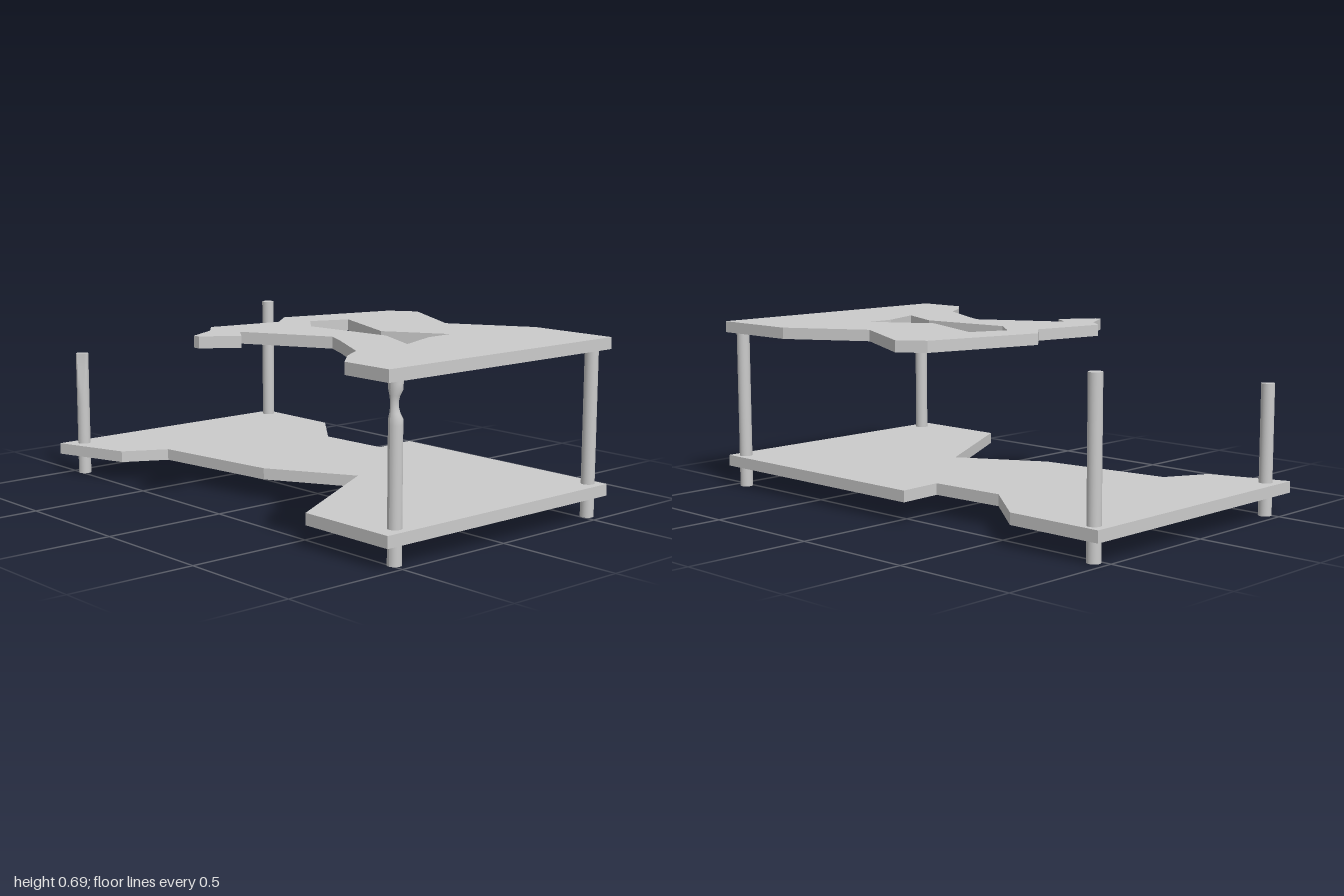
import * as THREE from 'three';

const material = new THREE.MeshStandardMaterial({ color: 0xcccccc });

// Flat board cut from an outline of [x, z] points
function board(name, y, thickness, outline, hole) {
  const points = (list) => list.map(([x, z]) => new THREE.Vector2(x, -z));
  const shape = new THREE.Shape(points(outline));
  if (hole) shape.holes.push(new THREE.Path(points(hole)));
  const geometry = new THREE.ExtrudeGeometry(shape, { depth: thickness, bevelEnabled: false });
  geometry.rotateX(-Math.PI / 2);
  const mesh = new THREE.Mesh(geometry, material);
  mesh.name = name;
  mesh.position.y = y;
  return mesh;
}

// Round post standing on the floor; an optional rule moves its vertices
function post(name, x, z, height, deform) {
  const geometry = new THREE.CylinderGeometry(0.026, 0.026, height, 20, deform ? 32 : 1);
  geometry.translate(0, height / 2, 0);
  if (deform) {
    const position = geometry.attributes.position;
    const v = new THREE.Vector3();
    for (let i = 0; i < position.count; i++) {
      deform(v.fromBufferAttribute(position, i));
      position.setXYZ(i, v.x, v.y, v.z);
    }
    geometry.computeVertexNormals();
  }
  const mesh = new THREE.Mesh(geometry, material);
  mesh.name = name;
  mesh.position.set(x, 0, z);
  return mesh;
}

// Splintered waist just below the upper shelf
function splinter(v) {
  const t = THREE.MathUtils.smoothstep(v.y, 0.5, 0.54) * (1 - THREE.MathUtils.smoothstep(v.y, 0.575, 0.6));
  v.x *= 1 - 0.45 * t;
  v.z = v.z * (1 - 0.4 * t) + 0.006 * t;
}

// Chip split off the front inner side of the broken post
function chip(v) {
  const depth = 0.012 * THREE.MathUtils.smoothstep(v.y, 0.3, 0.5);
  const over = Math.max(0, (v.x + v.z) / Math.SQRT2 - (0.026 - depth));
  v.x -= over / Math.SQRT2;
  v.z -= over / Math.SQRT2;
}

export function createModel() {
  const model = new THREE.Group();
  model.name = 'brokenShelf';

  // Lower shelf with jagged bites front and back
  model.add(board('lowerShelf', 0.083, 0.045, [
    [-1, 0.57], [-0.69, 0.47], [-0.6, 0.3], [-0.06, 0.23], [0.28, 0.04], [0.585, 0.57],
    [1, 0.57], [1, -0.57], [-0.06, -0.57], [-0.05, -0.39], [-0.36, -0.375], [-0.6, -0.57], [-1, -0.57],
  ]));

  // Upper shelf, snapped off on its right, with a hole in the middle
  model.add(board('upperShelf', 0.641, 0.045, [
    [1, 0.57], [1, -0.57], [0.63, -0.57], [0.32, -0.39], [-0.02, -0.57], [-0.12, -0.5],
    [-0.24, -0.03], [-0.145, 0.08], [-0.2, 0.375], [-0.12, 0.44], [-0.05, 0.57], [-0.02, 0.57],
    [0.07, 0.44], [-0.02, 0.375], [0.31, 0.2], [0.41, 0.25], [0.63, 0.375], [0.69, 0.47], [0.785, 0.57],
  ], [
    [-0.02, -0.18], [0.32, -0.04], [0.55, -0.18], [0.555, -0.06],
    [0.63, 0.125], [0.42, 0.03], [0.04, 0.07], [-0.08, -0.03],
  ]));

  // Four posts, the front pair damaged
  model.add(
    post('backLeftPost', 0.945, -0.525, 0.645),
    post('frontLeftPost', 0.945, 0.485, 0.645, splinter),
    post('backRightPost', -0.945, -0.525, 0.65),
    post('frontRightPost', -0.945, 0.485, 0.51, chip),
  );
  return model;
}
